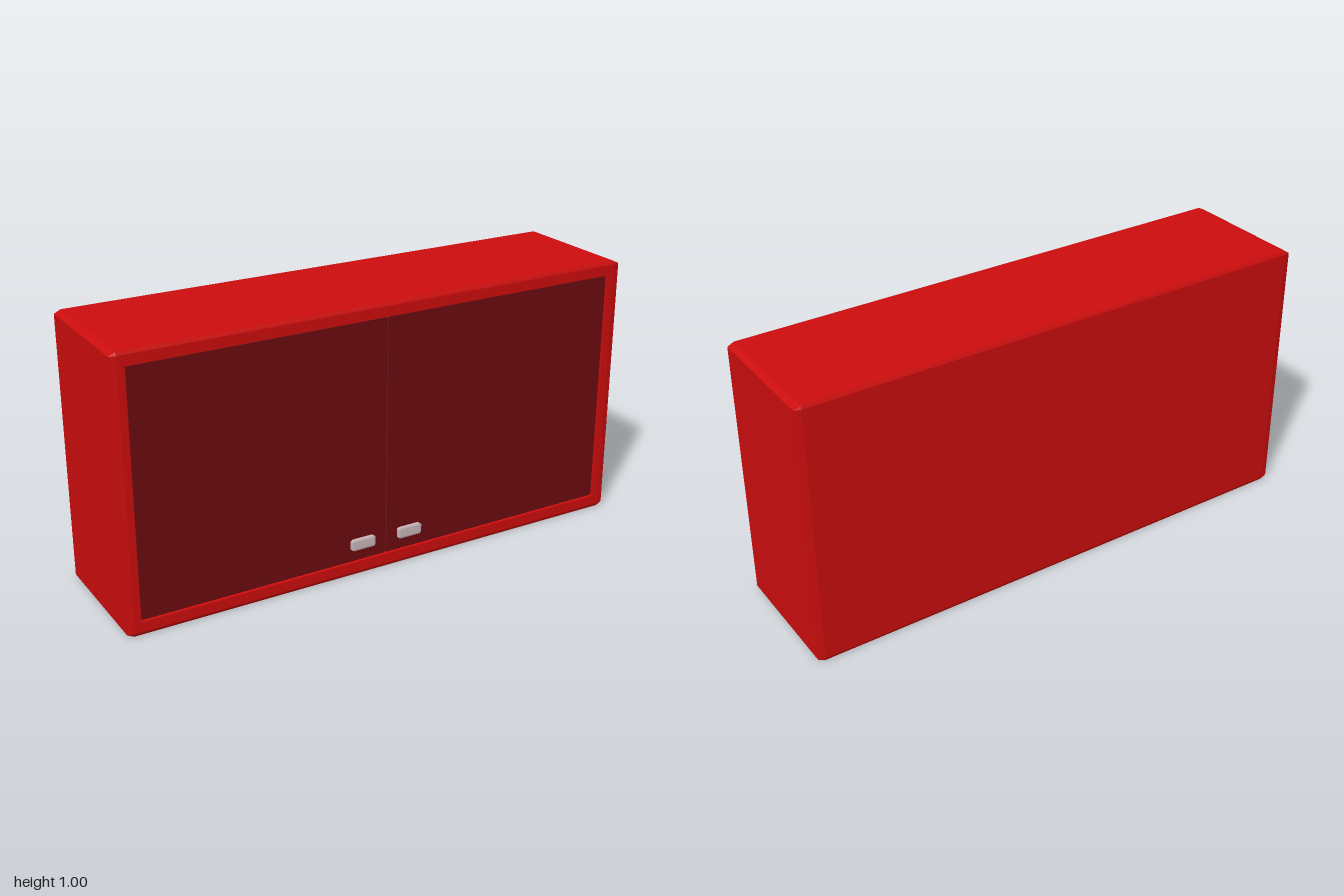
import * as THREE from 'three';

const red = new THREE.MeshStandardMaterial({ color: 0xcc0d0d });
red.name = 'cabinet red';
const darkRed = new THREE.MeshStandardMaterial({ color: 0x6c0c0e });
darkRed.name = 'door dark red';
const silver = new THREE.MeshStandardMaterial({ color: 0xc8b6ba });
silver.name = 'handle silver';

// Eight-point rectangle with cut corners: half sizes hx, hy and cuts cx, cy
function ring(hx, hy, cx, cy, z) {
  const points = [];
  for (const [sx, sy, xFirst] of [[1, -1, 0], [1, 1, 1], [-1, 1, 0], [-1, -1, 1]]) {
    const a = new THREE.Vector3(sx * hx, sy * (hy - cy), z);
    const b = new THREE.Vector3(sx * (hx - cx), sy * hy, z);
    points.push(...(xFirst ? [a, b] : [b, a]));
  }
  return points;
}

// Flat-faced skin through successive rings, back to front
function skin(rings) {
  const positions = [];
  const triangle = (a, b, c) => {
    const area = b.clone().sub(a).cross(c.clone().sub(a)).length();
    if (area > 1e-9) positions.push(...a.toArray(), ...b.toArray(), ...c.toArray());
  };
  for (let r = 0; r < rings.length - 1; r++) {
    for (let i = 0; i < 8; i++) {
      const j = (i + 1) % 8;
      const a = rings[r][i], b = rings[r][j], c = rings[r + 1][j], d = rings[r + 1][i];
      triangle(a, b, c);
      triangle(a, c, d);
    }
  }
  const geometry = new THREE.BufferGeometry();
  geometry.setAttribute('position', new THREE.Float32BufferAttribute(positions, 3));
  geometry.computeVertexNormals();
  return geometry;
}

// Rings of a box with every edge chamfered, without its front cap
function chamferedRings(hx, hy, back, front, cx, cy, cz) {
  return [
    ring(0, 0, 0, 0, back),
    ring(hx - cx, hy - cy, 0, 0, back),
    ring(hx, hy, cx, cy, back + cz),
    ring(hx, hy, cx, cy, front - cz),
    ring(hx - cx, hy - cy, 0, 0, front),
  ];
}

function addMesh(group, name, geometry, material, x, y) {
  const mesh = new THREE.Mesh(geometry, material);
  mesh.name = name;
  mesh.position.set(x, y, 0);
  group.add(mesh);
}

export function createModel() {
  const group = new THREE.Group();
  group.name = 'wallCabinet';

  // Chamfered case with a shallow opening in the front
  addMesh(group, 'case', skin([
    ...chamferedRings(1, 0.5, -0.25, 0.245, 0.024, 0.012, 0.006),
    ring(0.95, 0.45, 0, 0, 0.245),
    ring(0.95, 0.45, 0, 0, 0.225),
    ring(0, 0, 0, 0, 0.225),
  ]), red, 0, 0.5);

  // A pair of doors, each with a small pull near the centre seam
  const door = skin([
    ...chamferedRings(0.4735, 0.449, 0.222, 0.237, 0.003, 0.003, 0.003),
    ring(0, 0, 0, 0, 0.237),
  ]);
  const handle = skin([
    ...chamferedRings(0.049, 0.021, 0.234, 0.25, 0.008, 0.006, 0.002),
    ring(0, 0, 0, 0, 0.25),
  ]);
  for (const [side, s] of [['left', 1], ['right', -1]]) {
    addMesh(group, side + 'Door', door, darkRed, s * 0.475, 0.5);
    addMesh(group, side + 'Handle', handle, silver, s * 0.097, 0.118);
  }
  return group;
}
